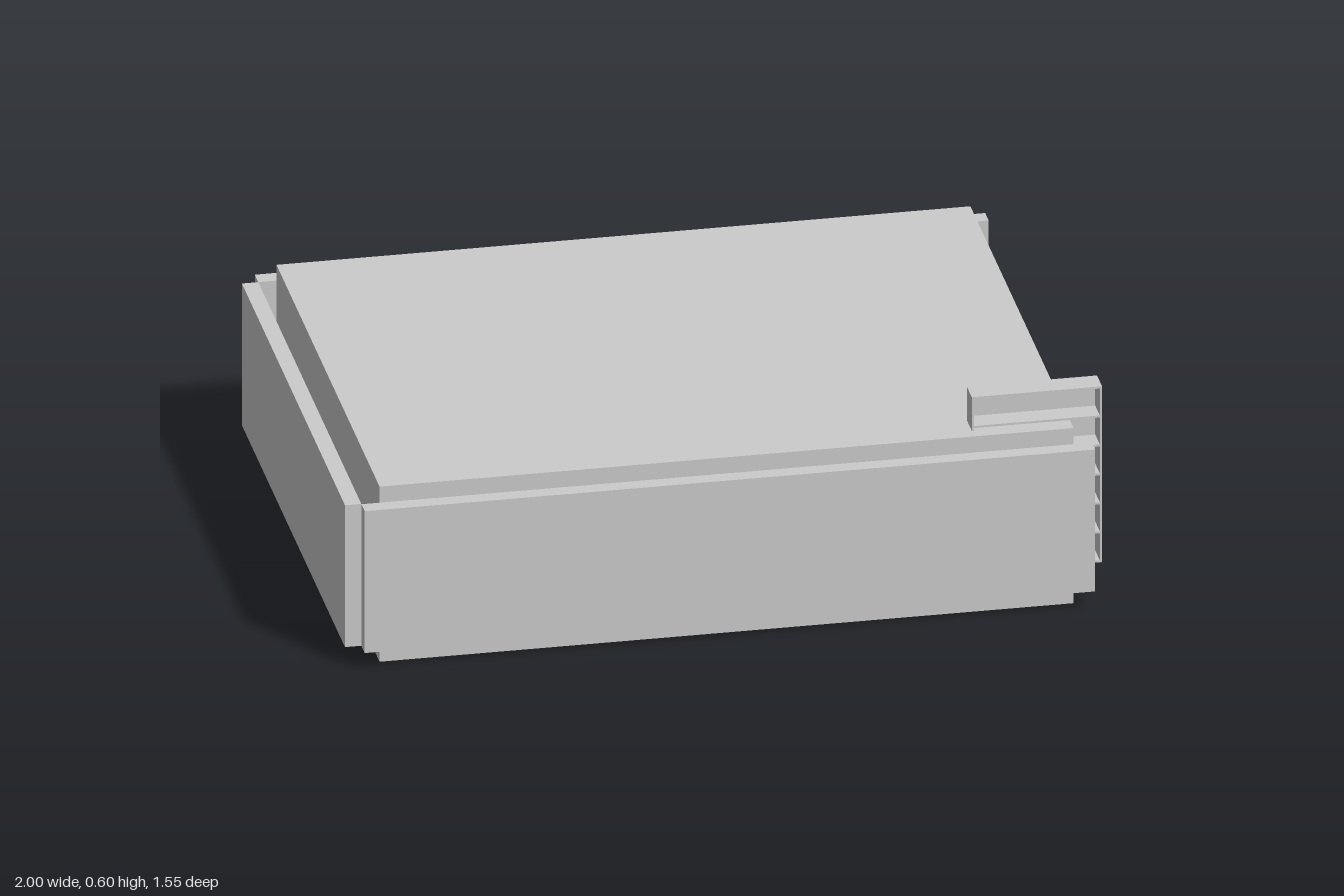
import * as THREE from 'three';

export function createModel() {
  const model = new THREE.Group();
  const grey = new THREE.MeshStandardMaterial({ color: 0xcccccc });
  grey.name = 'light grey';

  // Box given by its minimum and maximum along each axis
  function block(name, [x0, x1], [y0, y1], [z0, z1], parent = model) {
    const mesh = new THREE.Mesh(new THREE.BoxGeometry(x1 - x0, y1 - y0, z1 - z0), grey);
    mesh.position.set((x0 + x1) / 2, (y0 + y1) / 2, (z0 + z1) / 2);
    mesh.name = name;
    parent.add(mesh);
  }

  // Main body
  block('body', [-0.909, 0.918], [0, 0.5], [-0.64, 0.73]);

  // Outer panels; the side panel stands clear of the body
  const panelY = [0.05, 0.455];
  block('frontPanel', [-0.957, 0.966], panelY, [0.732, 0.775]);
  block('backPanel', [-0.957, 0.966], panelY, [-0.686, -0.64]);
  block('sidePanel', [-1, -0.957], panelY, [-0.64, 0.73]);

  // Corner rack: thin shell, open to the front, with evenly spaced shelves
  const rack = new THREE.Group();
  rack.name = 'cornerRack';
  model.add(rack);
  const t = 0.006, x0 = 0.657, x1 = 1, y0 = 0.094, y1 = 0.596, z0 = 0.629, z1 = 0.696;
  block('rackBack', [x0, x1], [y0, y1], [z0, z0 + t], rack);
  block('rackInnerSide', [x0, x0 + t], [y0, y1], [z0 + t, z1], rack);
  block('rackOuterSide', [x1 - t, x1], [y0, y1], [z0 + t, z1], rack);
  const cells = 6;
  for (let i = 0; i <= cells; i++) {
    const y = y0 + (i / cells) * (y1 - y0 - t);
    block('rackShelf', [x0 + t, x1 - t], [y, y + t], [z0 + t, z1], rack);
  }

  // Rear outlet with a slightly wider lip along its base
  block('outlet', [-0.739, -0.441], [0.105, 0.163], [-0.769, -0.686]);
  block('outletLip', [-0.746, -0.434], [0.093, 0.105], [-0.775, -0.686]);

  return model;
}
